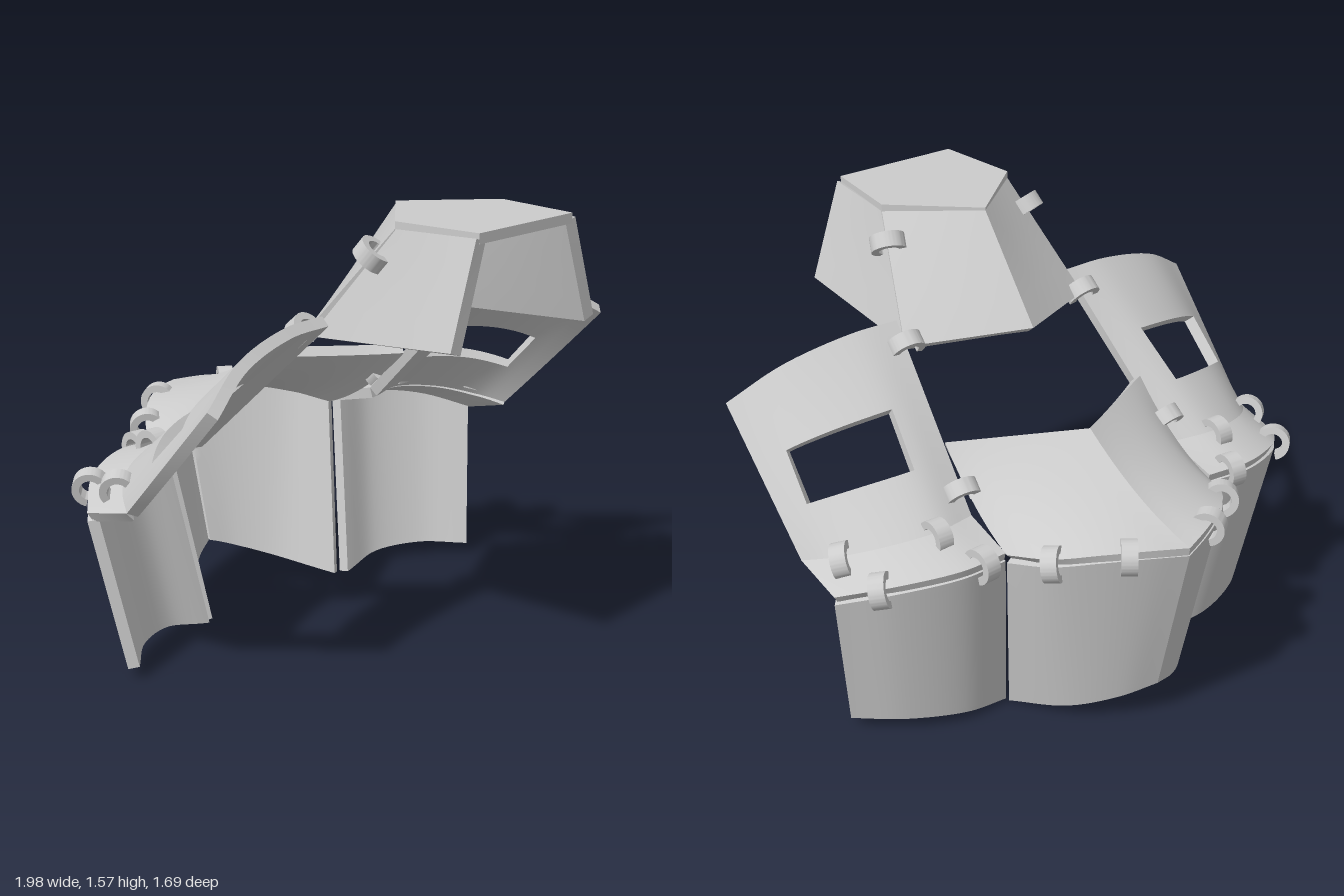
import * as THREE from 'three';
import { toCreasedNormals } from 'three/addons/utils/BufferGeometryUtils.js';

const V = (p) => new THREE.Vector3(...p);
const curve = (pts) => pts.length === 2
  ? new THREE.LineCurve3(V(pts[0]), V(pts[1]))
  : new THREE.CatmullRomCurve3(pts.map(V));

// Curved plate between edge curves a and b, thickened away from the side `out`.
// sag bows the middle, hole = [u0, u1, v0, v1] in grid cells, mirror negates x.
function plate({ a, b, out, thick = 0.04, sag = [0, 0, 0], hole, n = 20 }, mirror) {
  const ca = curve(a), cb = curve(b), sagV = V(sag);
  const at = (u, v) => ca.getPoint(u).lerp(cb.getPoint(u), v).addScaledVector(sagV, 4 * v * (1 - v));
  const normal = (u, v) => {
    const e = 0.01;
    const du = at(Math.min(1, u + e), v).sub(at(Math.max(0, u - e), v));
    const dv = at(u, Math.min(1, v + e)).sub(at(u, Math.max(0, v - e)));
    return du.cross(dv).normalize();
  };
  const sign = normal(0.5, 0.5).dot(V(out)) < 0 ? -1 : 1;
  const outer = [], inner = [];
  for (let j = 0; j <= n; j++) for (let i = 0; i <= n; i++) {
    const p = at(i / n, j / n);
    const q = p.clone().addScaledVector(normal(i / n, j / n), -sign * thick);
    q.x = Math.max(0, q.x);
    outer.push(p);
    inner.push(q);
  }
  const kept = (i, j) => i >= 0 && j >= 0 && i < n && j < n &&
    !(hole && i >= hole[0] && i < hole[1] && j >= hole[2] && j < hole[3]);
  const flip = (sign < 0) !== mirror, pos = [];
  const tri = (p, q, r) => (flip ? [p, r, q] : [p, q, r])
    .forEach((t) => pos.push(mirror ? -t.x : t.x, t.y, t.z));
  const quad = (p, q, r, s) => { tri(p, q, r); tri(p, r, s); };
  for (let j = 0; j < n; j++) for (let i = 0; i < n; i++) {
    if (!kept(i, j)) continue;
    const k = j * (n + 1) + i, c = [k, k + 1, k + n + 2, k + n + 1];
    quad(...c.map((m) => outer[m]));
    quad(...c.map((m) => inner[m]).reverse());
    [[0, -1], [1, 0], [0, 1], [-1, 0]].forEach(([di, dj], e) => {
      if (kept(i + di, j + dj)) return;
      const p = c[e], q = c[(e + 1) % 4];
      quad(inner[p], inner[q], outer[q], outer[p]);
    });
  }
  const g = new THREE.BufferGeometry();
  g.setAttribute('position', new THREE.Float32BufferAttribute(pos, 3));
  return toCreasedNormals(g, 0.6);
}

// C-shaped clasp: arc of a flat band, width along local z, back of the C at local +y
function claspGeometry() {
  const half = 2.1, s = new THREE.Shape();
  s.absarc(0, 0, 0.062, Math.PI / 2 - half, Math.PI / 2 + half, false);
  s.absarc(0, 0, 0.036, Math.PI / 2 + half, Math.PI / 2 - half, true);
  const g = new THREE.ExtrudeGeometry(s, { depth: 0.055, bevelEnabled: false, curveSegments: 20 });
  g.translate(0, 0, -0.0275);
  return toCreasedNormals(g, 0.6);
}

// Shared seams
const windowFoot = [[0.44, 0.74, -0.23], [0.6, 0.745, -0.26], [0.78, 0.72, -0.2], [0.9, 0.68, -0.1], [0.97, 0.645, 0]];
const sideRim = [[0.445, 0.69, -0.43], [0.62, 0.69, -0.44], [0.82, 0.66, -0.35], [0.97, 0.6, -0.2]];
const backRim = [[0, 0.745, -0.84], [0.12, 0.75, -0.785], [0.25, 0.74, -0.7], [0.37, 0.71, -0.58], [0.44, 0.68, -0.43]];
const lower = (pts, d) => pts.map(([x, y, z]) => [x, y - d, z]);

const plates = {
  canopyBack: {
    a: [[0, 1.565, 0.285], [0.27, 1.55, 0.525]], b: [[0, 1.22, 0.01], [0.385, 1.175, 0.23]],
    out: [0.3, 0.6, -0.7], n: 4,
  },
  canopySide: {
    a: [[0.27, 1.55, 0.53], [0.25, 1.56, 0.845]], b: [[0.375, 1.17, 0.25], [0.365, 1.215, 0.845]],
    out: [1, 0.3, 0], thick: 0.05, n: 4,
  },
  windowPanel: {
    a: [[0.37, 1.245, 0.3], [0.55, 1.24, 0.31], [0.8, 1.18, 0.35], [0.99, 1.07, 0.41]], b: windowFoot,
    out: [0.3, 0.7, -0.6], hole: [5, 16, 8, 14],
  },
  sideLedge: { a: windowFoot, b: sideRim, out: [0, 1, 0] },
  sideWall: {
    a: lower(sideRim, 0.03),
    b: [[0.36, 0.01, -0.31], [0.54, 0.04, -0.33], [0.74, 0.05, -0.25], [0.88, 0.04, -0.12]],
    out: [0.4, 0, -1],
  },
  backRoof: {
    a: [[0, 0.965, -0.31], [0.425, 0.94, -0.06]], b: backRim,
    out: [0, 1, -0.4], sag: [0, -0.035, 0],
  },
  backWall: {
    a: lower(backRim, 0.03),
    b: [[0, 0.14, -0.7], [0.12, 0.1, -0.64], [0.25, 0.05, -0.52], [0.355, 0.005, -0.32]],
    out: [0.5, 0, -1],
  },
};

// Clasps: position, direction of the seam, outward direction
const clasps = [
  [[0.54, 0.68, -0.43], [1, 0, -0.1], [0, 0.7, -0.7]],
  [[0.86, 0.64, -0.31], [0.7, -0.2, 0.65], [0.5, 0.7, -0.5]],
  [[0.61, 0.735, -0.27], [1, 0, 0], [0, 0.9, -0.4]],
  [[0.89, 0.68, -0.13], [0.7, -0.25, 0.6], [0.4, 0.8, -0.3]],
  [[0.17, 0.72, -0.735], [0.8, 0, 0.6], [0.4, 0.7, -0.6]],
  [[0.365, 0.69, -0.58], [0.65, -0.15, 0.75], [0.5, 0.7, -0.5]],
  [[0.445, 0.81, -0.18], [0.08, -0.6, -0.7], [0, 0.75, -0.65]],
  [[0.38, 1.18, 0.23], [0.05, -0.6, -0.7], [0.2, 0.7, -0.6]],
  [[0.295, 1.46, 0.455], [0.11, -0.39, -0.29], [0.8, 0.35, -0.3]],
];

export function createModel() {
  const model = new THREE.Group();
  const grey = new THREE.MeshStandardMaterial({ color: 0xcccccc });
  grey.name = 'lightGrey';
  const add = (name, geometry) => {
    const m = new THREE.Mesh(geometry, grey);
    m.name = name;
    model.add(m);
    return m;
  };

  // Flat five-sided canopy top
  const top = new THREE.Shape([[-0.235, -0.845], [0.235, -0.845], [0.27, -0.525], [0, -0.285], [-0.27, -0.525]]
    .map((p) => new THREE.Vector2(...p)));
  add('canopyTop', new THREE.ExtrudeGeometry(top, { depth: 0.035, bevelEnabled: false })
    .rotateX(-Math.PI / 2).translate(0, 1.54, 0));

  // Plates and clasps on both sides
  const ring = claspGeometry();
  for (const mirror of [false, true]) {
    const side = mirror ? 'Right' : 'Left', sx = mirror ? -1 : 1;
    for (const [name, spec] of Object.entries(plates)) add(name + side, plate(spec, mirror));
    clasps.forEach(([p, seam, out]) => {
      const [pos, z, o] = [p, seam, out].map(([x, y, w]) => new THREE.Vector3(x * sx, y, w));
      z.normalize();
      const y = o.addScaledVector(z, -o.dot(z)).normalize();
      const m = add('clasp' + side, ring);
      m.quaternion.setFromRotationMatrix(new THREE.Matrix4().makeBasis(y.clone().cross(z), y, z));
      m.position.copy(pos);
    });
  }
  return model;
}
